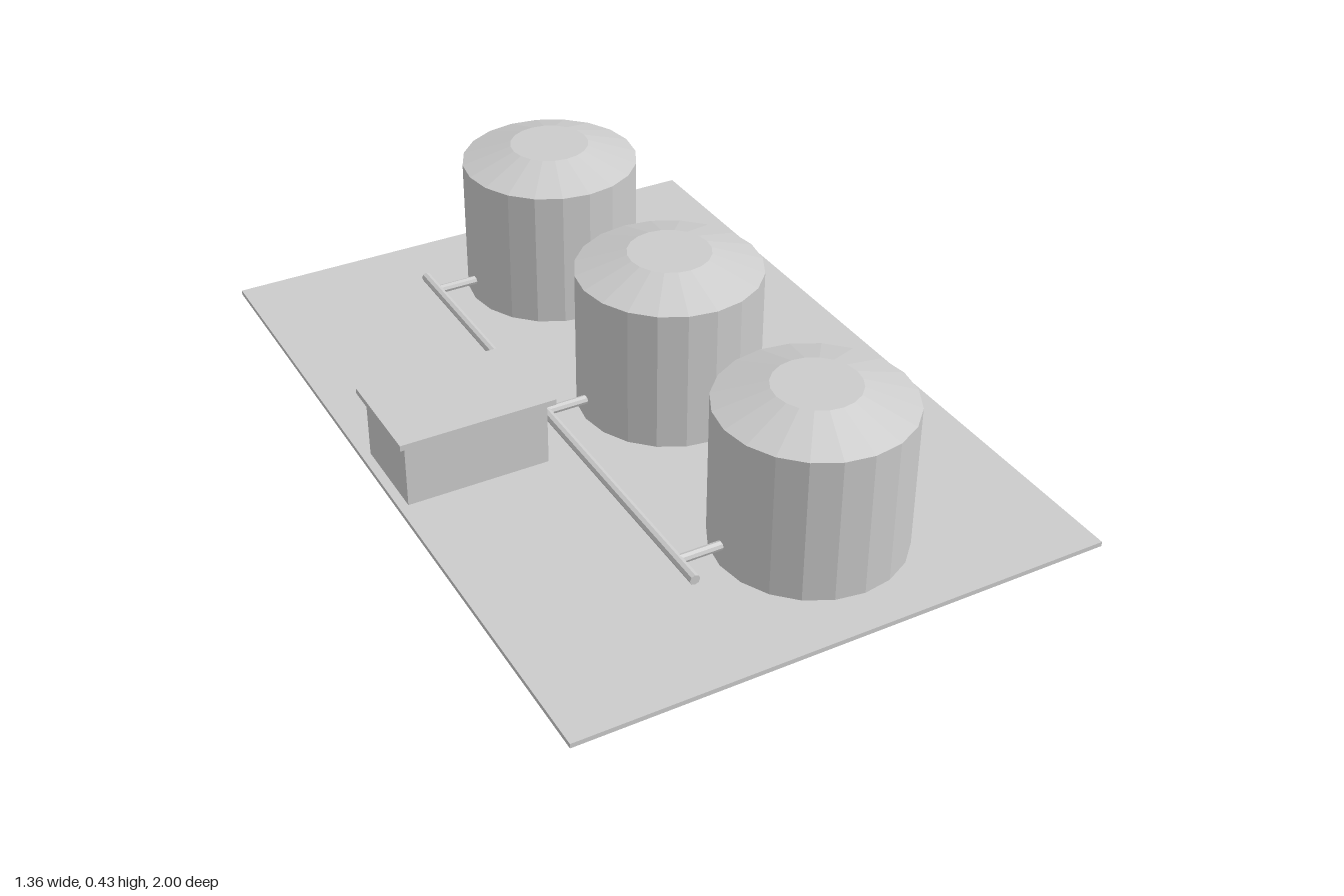
import * as THREE from 'three';

export function createModel() {
  const model = new THREE.Group();
  model.name = 'tankFarm';
  const material = new THREE.MeshStandardMaterial({ color: 0xcccccc, flatShading: true });

  const add = (name, geometry, x, y, z, parent = model) => {
    const mesh = new THREE.Mesh(geometry, material);
    mesh.name = name;
    mesh.position.set(x, y, z);
    parent.add(mesh);
    return mesh;
  };

  const ground = 0.012, tankX = 0.105, tankR = 0.235, tankTop = 0.385, roofTop = 0.43;
  const pipeX = -0.24, pipeY = 0.07;

  // Base slab
  add('baseSlab', new THREE.BoxGeometry(1.364, ground, 2), 0, ground / 2, 0);

  // Three storage tanks, each with a truncated cone roof and an outlet pipe
  const wallH = tankTop - ground, roofH = roofTop - tankTop;
  const wall = new THREE.CylinderGeometry(tankR, tankR, wallH, 20);
  const roof = new THREE.CylinderGeometry(0.105, tankR, roofH, 20);
  const outletEnd = tankX - tankR + 0.01;
  const outlet = new THREE.CylinderGeometry(0.0115, 0.0115, outletEnd - pipeX, 8).rotateZ(Math.PI / 2);
  for (const z of [-0.657, 0, 0.657]) {
    const tank = new THREE.Group();
    tank.name = 'storageTank';
    tank.position.z = z;
    add('tankWall', wall, tankX, ground + wallH / 2, 0, tank);
    add('tankRoof', roof, tankX, tankTop + roofH / 2, 0, tank);
    add('outletPipe', outlet, (pipeX + outletEnd) / 2, pipeY, 0, tank);
    model.add(tank);
  }

  // Main pipe joining the outlets
  add('mainPipe', new THREE.CylinderGeometry(0.013, 0.013, 1.47, 8).rotateX(Math.PI / 2), pipeX, pipeY, 0);

  // Pump house with an overhanging flat roof
  add('pumpHouse', new THREE.BoxGeometry(0.367, 0.171, 0.235), -0.475, 0.0975, 0);
  add('pumpHouseRoof', new THREE.BoxGeometry(0.4, 0.015, 0.27), -0.475, 0.1905, 0);

  return model;
}
